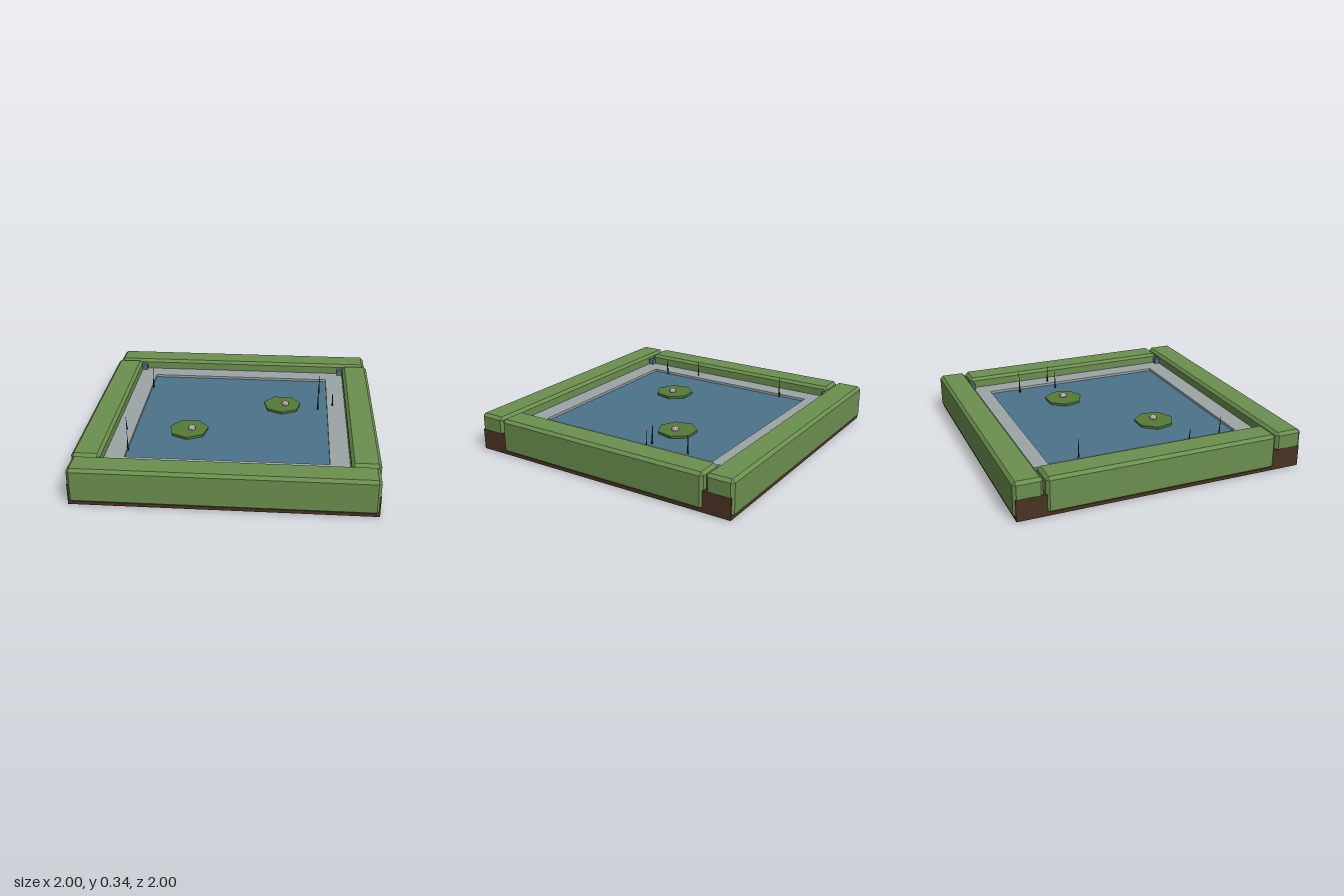
import * as THREE from 'three';
import { ConvexGeometry } from 'three/addons/geometries/ConvexGeometry.js';

const mat = (color) => new THREE.MeshStandardMaterial({ color, flatShading: true });
const grass = mat(0x6b8f4f), soil = mat(0x4a3324), water = mat(0x4b728a), stone = mat(0x9ba4a6);
const leaf = mat(0x557a38), petal = mat(0xb4a8ac), reedGreen = mat(0x1e2c1e);

// Box with every edge chamfered by b
function chamferBox(w, h, d, b) {
  const pts = [];
  for (const x of [-1, 1]) for (const y of [-1, 1]) for (const z of [-1, 1]) {
    for (const [ix, iy, iz] of [[0, b, b], [b, 0, b], [b, b, 0]]) {
      pts.push(new THREE.Vector3(x * (w / 2 - ix), y * (h / 2 - iy), z * (d / 2 - iz)));
    }
  }
  return new ConvexGeometry(pts);
}

// Square frame lying flat, from y0 to y1
function squareRing(outer, inner, y0, y1) {
  const corners = (r) => [[-r, -r], [r, -r], [r, r], [-r, r]].map(([x, y]) => new THREE.Vector2(x, y));
  const shape = new THREE.Shape(corners(outer));
  shape.holes.push(new THREE.Path(corners(inner).reverse()));
  return new THREE.ExtrudeGeometry(shape, { depth: y1 - y0, bevelEnabled: false })
    .rotateX(-Math.PI / 2).translate(0, y0, 0);
}

export function createModel() {
  const model = new THREE.Group();
  const add = (name, geometry, material, x = 0, y = 0, z = 0) => {
    const mesh = new THREE.Mesh(geometry, material);
    mesh.name = name;
    mesh.position.set(x, y, z);
    model.add(mesh);
    return mesh;
  };

  // Basin of water, stone rim and soil bed
  add('water', new THREE.BoxGeometry(1.62, 0.172, 1.62), water, 0, 0.086, 0);
  add('stoneRim', squareRing(0.808, 0.677, 0.16, 0.19), stone);
  add('soilBed', squareRing(0.987, 0.806, 0.005, 0.15), soil);

  // Grass banks and small corner posts
  for (const s of [-1, 1]) {
    add(s > 0 ? 'frontBank' : 'backBank', chamferBox(1.97, 0.243, 0.192, 0.02), grass, 0, 0.1425, s * 0.904);
    add(s > 0 ? 'leftBank' : 'rightBank', chamferBox(0.192, 0.243, 1.595, 0.02), grass, s * 0.904, 0.1425, 0);
    for (const t of [-1, 1]) {
      add('cornerPost', new THREE.BoxGeometry(0.04, 0.1, 0.04), water, s * 0.789, 0.18, t * 0.789);
    }
  }

  // Lily pads with a bud on each
  for (const [x, z] of [[0.345, -0.203], [-0.3, 0.242]]) {
    add('lilyPad', new THREE.CylinderGeometry(0.139, 0.134, 0.022, 7), leaf, x, 0.18, z);
    add('lilyBud', new THREE.IcosahedronGeometry(0.027, 1), petal, x + 0.022, 0.198, z + 0.004).scale.y = 0.8;
  }

  // Reeds: x, z, tip height
  const reeds = [[-0.67, -0.47, 0.335], [0.62, -0.46, 0.34], [0.61, -0.175, 0.335],
    [0.72, -0.205, 0.325], [-0.73, 0.29, 0.305], [-0.675, 0.552, 0.325]];
  reeds.forEach(([x, z, tip], i) => {
    const h = tip - 0.165;
    const reed = add('reed', new THREE.ConeGeometry(0.007, h, 4).translate(0, h / 2, 0), reedGreen, x, 0.165, z);
    reed.rotation.set(0.02, i, -0.05);
  });
  return model;
}
